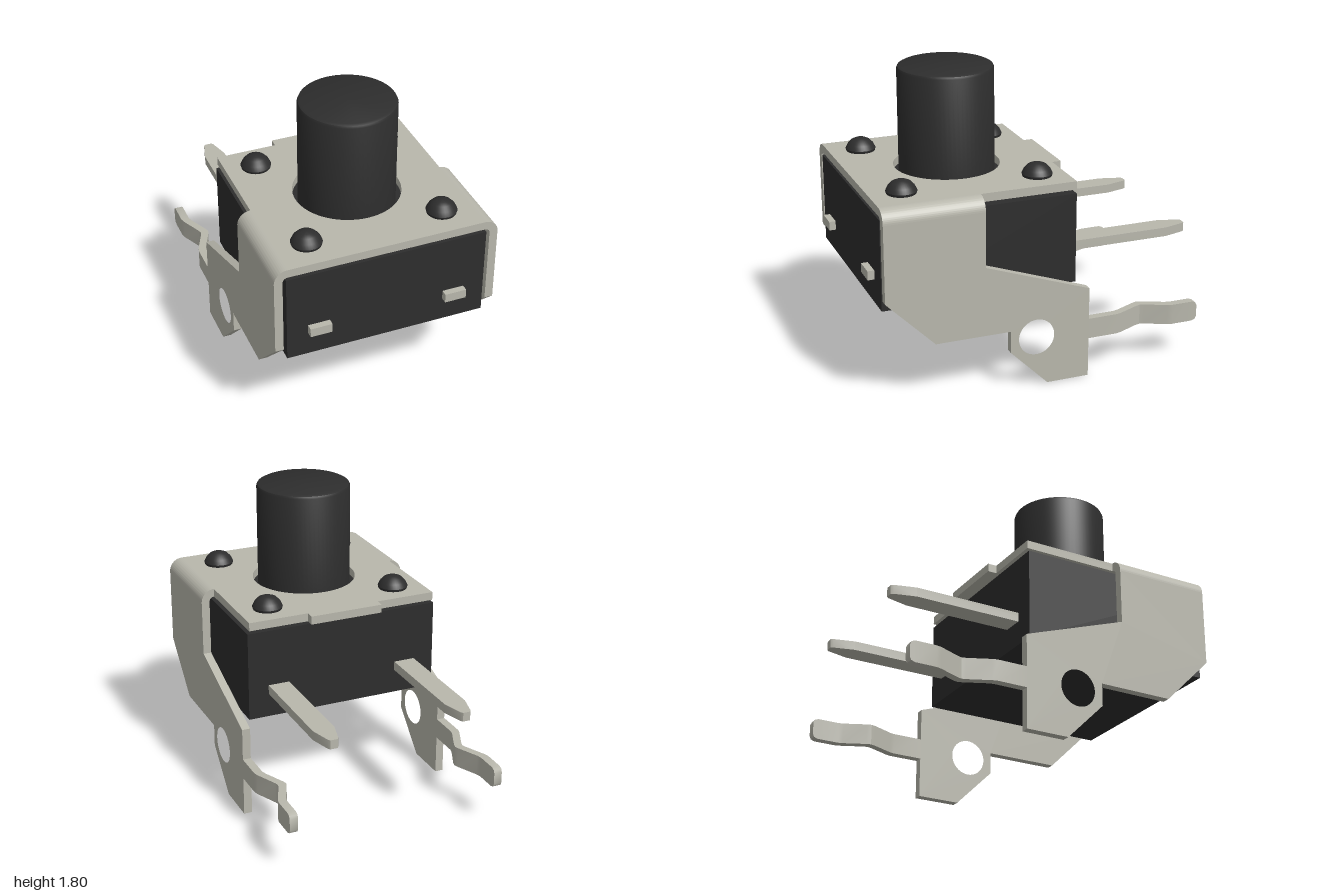
import * as THREE from 'three';
import { toCreasedNormals } from 'three/addons/utils/BufferGeometryUtils.js';

export function createModel() {
  const model = new THREE.Group();
  model.name = 'tactileSwitch';
  const black = new THREE.MeshStandardMaterial({ name: 'black plastic', color: 0x2d2d2d });
  const metal = new THREE.MeshStandardMaterial({ name: 'tinned metal', color: 0xb8b7ac });

  const add = (name, geometry, material, x = 0, y = 0, z = 0) => {
    const mesh = new THREE.Mesh(geometry, material);
    mesh.name = name;
    mesh.position.set(x, y, z);
    model.add(mesh);
  };
  const polygon = (pts) => new THREE.Shape(pts.map(([a, b]) => new THREE.Vector2(a, b)));
  const extrude = (shape, depth) => toCreasedNormals(
    new THREE.ExtrudeGeometry(shape, { depth, bevelEnabled: false, curveSegments: 32 }), 0.6);
  const lathe = (pts, segments) => toCreasedNormals(
    new THREE.LatheGeometry(pts.map(([r, y]) => new THREE.Vector2(r, y)), segments), 0.6);
  const hole = (shape, x, y, r) => {
    const path = new THREE.Path();
    path.absarc(x, y, r, 0, Math.PI * 2, true);
    shape.holes.push(path);
  };

  // Housing and push button
  add('housing', new THREE.BoxGeometry(1.2, 0.545, 1.175), black, 0, 0.8575, 0.3725);
  add('button', lathe([[0.283, 1.12], [0.283, 1.78], [0.277, 1.793], [0.263, 1.8], [0, 1.8]], 64),
    black, 0, 0, 0.362);

  // Cover plate, drawn in x and z, with a rear tab and the button opening
  const cover = polygon([[-0.59, 0.96], [-0.59, -0.22], [-0.225, -0.22], [-0.225, -0.275],
    [0.225, -0.275], [0.225, -0.22], [0.59, -0.22], [0.59, 0.96]]);
  hole(cover, 0, 0.362, 0.315);
  add('coverPlate', extrude(cover, 0.05).rotateX(Math.PI / 2), metal, 0, 1.2, 0);

  // Side bracket, drawn in z and y, with a round mounting hole
  const bracket = polygon([[0.96, 1.12], [0.96, 0.655], [0.67, 0.365], [0.215, 0.365], [0.215, 0.23],
    [-0.015, 0], [-0.275, 0], [-0.275, 0.56], [0.365, 0.785], [0.365, 1.12]]);
  hole(bracket, 0.055, 0.305, 0.11);
  const bracketGeometry = extrude(bracket, 0.05).rotateY(-Math.PI / 2);

  // Kinked arm stations: z, inward offset, half height
  const stations = [[-0.275, 0, 0.0625], [-0.455, 0, 0.0625], [-0.485, 0.008, 0.0625],
    [-0.615, 0.066, 0.0625], [-0.64, 0.073, 0.0625], [-0.665, 0.066, 0.0625],
    [-0.795, 0.008, 0.0625], [-0.825, 0, 0.0625], [-0.955, 0, 0.0625],
    [-0.976, 0, 0.054], [-0.985, 0, 0.035]];
  const armGeometry = (side) => {
    const n = stations.length - 1;
    const g = new THREE.BoxGeometry(0.05, 2, 1, 1, 1, n);
    const p = g.attributes.position;
    for (let i = 0; i < p.count; i++) {
      const [z, inward, half] = stations[Math.round((0.5 - p.getZ(i)) * n)];
      p.setXYZ(i, p.getX(i) - side * inward, p.getY(i) * half, z);
    }
    return toCreasedNormals(g, 0.5);
  };

  // Contact pin, drawn in x and z, running through the housing to a tapered tip
  const pin = polygon([[-0.065, 1], [-0.065, -0.86], [-0.032, -0.985], [-0.022, -1],
    [0.022, -1], [0.032, -0.985], [0.065, -0.86], [0.065, 1]]);
  const pinGeometry = extrude(pin, 0.055).rotateX(Math.PI / 2);

  // Riveted post with a domed head
  const rivetGeometry = lathe([[0.07, 1.12], [0.07, 1.2], [0.086, 1.2], [0.09, 1.215], [0.077, 1.242],
    [0.055, 1.265], [0.028, 1.277], [0, 1.28]], 32);

  for (const side of [1, -1]) {
    const label = side > 0 ? 'left' : 'right';
    add(label + 'Bracket', bracketGeometry, metal, side > 0 ? 0.67 : -0.62);
    add(label + 'Arm', armGeometry(side), metal, side * 0.645, 0.3025, 0);

    // Rounded bend joining cover and bracket
    const start = side > 0 ? 0 : Math.PI / 2;
    const bend = new THREE.Shape();
    bend.absarc(0, 0, 0.08, start, start + Math.PI / 2, false);
    bend.absarc(0, 0, 0.03, start + Math.PI / 2, start, true);
    add(label + 'Bend', extrude(bend, 0.595), metal, side * 0.59, 1.12, 0.365);

    add(label + 'Pin', pinGeometry, metal, side * 0.41, 0.785, 0);
    add(label + 'RearRivet', rivetGeometry, black, side * 0.408, 0, -0.048);
    add(label + 'FrontRivet', rivetGeometry, black, side * 0.408, 0, 0.77);
  }
  return model;
}
